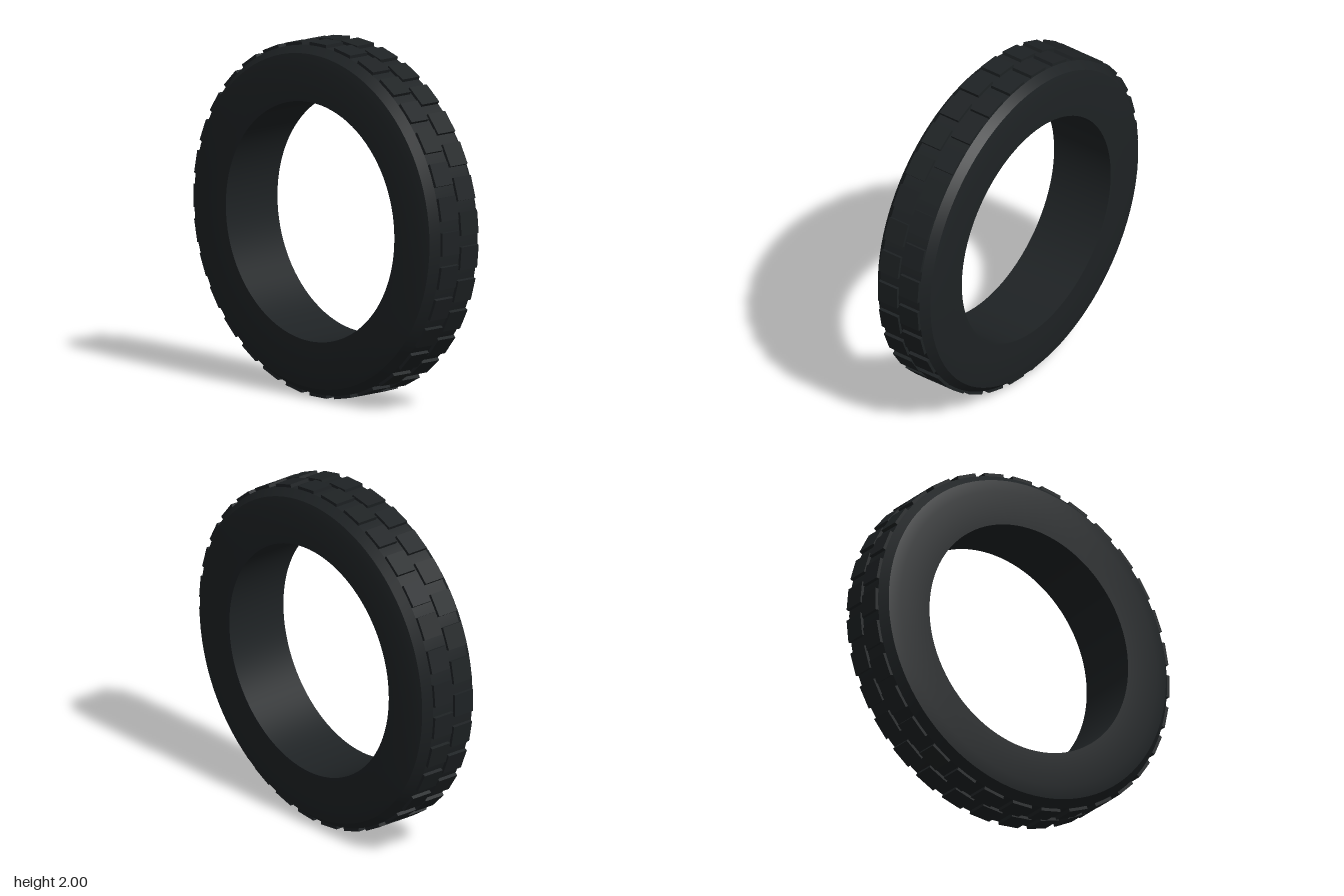
import * as THREE from 'three';
import { toCreasedNormals } from 'three/addons/utils/BufferGeometryUtils.js';

export function createModel() {
  const model = new THREE.Group();
  model.name = 'tire';
  const rubber = new THREE.MeshStandardMaterial({ color: 0x1e2224 });

  // Carcass: closed ring profile (radius, width) turned around the axle
  const half = [[0.675, 0.198], [0.87, 0.198], [0.942, 0.184], [0.982, 0.138]];
  const right = half.map(([r, w]) => new THREE.Vector2(r, -w));
  const left = half.map(([r, w]) => new THREE.Vector2(r, w)).reverse();
  const profile = [...right, ...left, right[0].clone()];
  const ring = toCreasedNormals(new THREE.LatheGeometry(profile, 96), Math.PI / 9);
  ring.rotateZ(-Math.PI / 2);
  const carcass = new THREE.Mesh(ring, rubber);
  carcass.name = 'carcass';
  carcass.position.y = 1;
  model.add(carcass);

  // Tread: two rows of blocks, staggered by half a pitch
  const count = 32, top = 0.9985, depth = 0.05;
  const block = new THREE.BoxGeometry(0.131, 0.131, depth);
  block.translate(0, 0, top - depth / 2);
  for (const side of [-1, 1]) {
    const row = new THREE.Group();
    row.name = side < 0 ? 'rightTreadRow' : 'leftTreadRow';
    row.position.set(side * 0.0725, 1, 0);
    for (let i = 0; i < count; i++) {
      const lug = new THREE.Mesh(block, rubber);
      lug.name = 'treadBlock';
      lug.rotation.x = ((i + (side > 0 ? 0.5 : 0)) / count) * Math.PI * 2;
      row.add(lug);
    }
    model.add(row);
  }
  return model;
}
